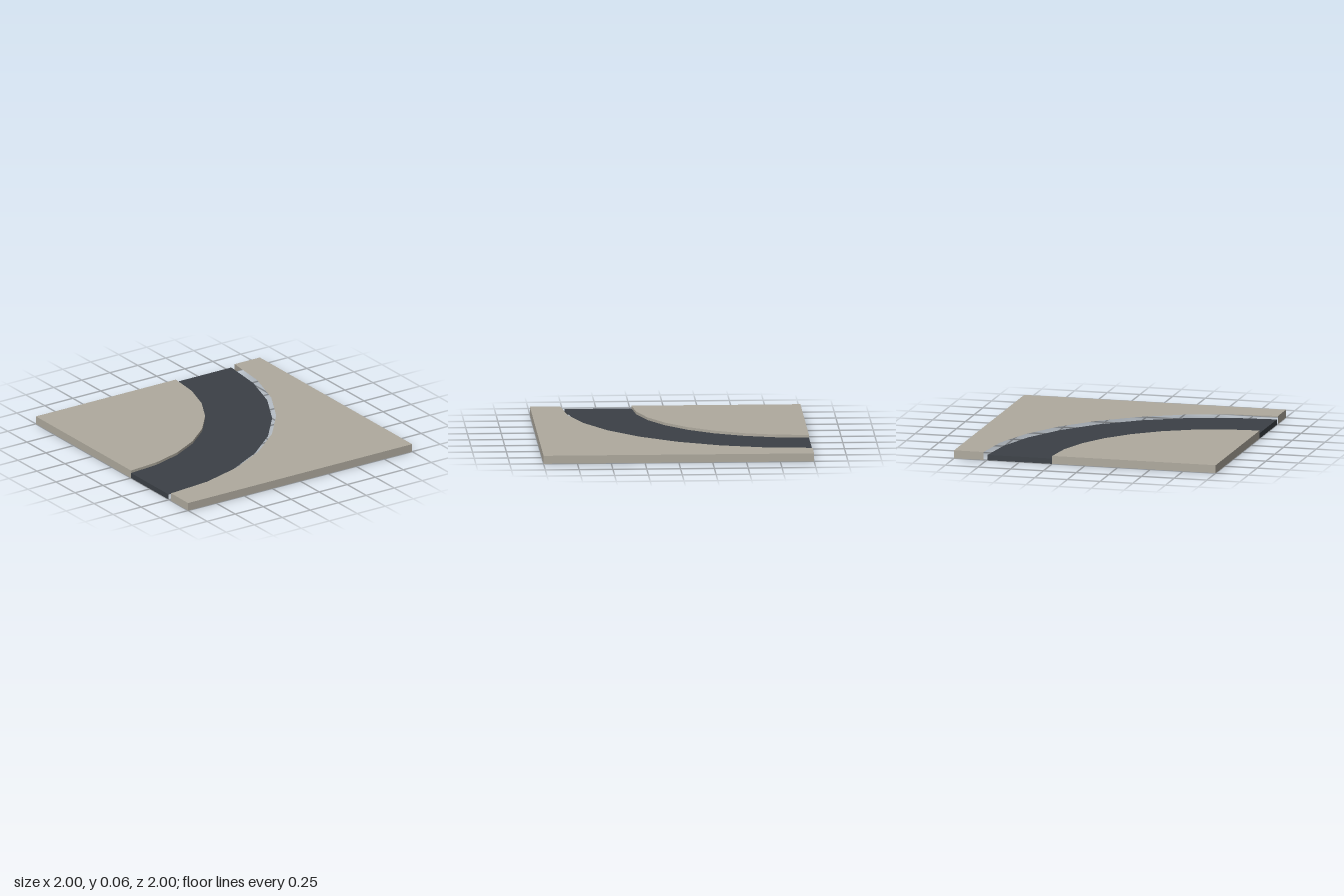
import * as THREE from 'three';

const TOP = 0.06;      // pavement height
const ROAD = 0.04;     // road surface height
const SEGMENTS = 8;    // facets in each quarter curve
const R_INNER = 1.25, R_ROAD = 1.745, R_OUTER = 1.775;

// Points [x, z] on a quarter curve around the back corner (-1, -1)
function arc(radius) {
  const points = [];
  for (let i = 0; i <= SEGMENTS; i++) {
    const a = (i / SEGMENTS) * Math.PI / 2;
    points.push([-1 + radius * Math.cos(a), -1 + radius * Math.sin(a)]);
  }
  return points;
}

// Flat horizontal sheet with the given outline
function sheet(points, y) {
  const shape = new THREE.Shape(points.map(([x, z]) => new THREE.Vector2(x, -z)));
  return new THREE.ShapeGeometry(shape).rotateX(-Math.PI / 2).translate(0, y, 0);
}

// Upright band that follows a path, faceted
function wall(points, y0, y1) {
  const v = [];
  for (let i = 0; i < points.length - 1; i++) {
    const [ax, az] = points[i], [bx, bz] = points[i + 1];
    v.push(ax, y0, az, ax, y1, az, bx, y1, bz, ax, y0, az, bx, y1, bz, bx, y0, bz);
  }
  const geometry = new THREE.BufferGeometry();
  geometry.setAttribute('position', new THREE.Float32BufferAttribute(v, 3));
  geometry.computeVertexNormals();
  return geometry;
}

export function createModel() {
  const model = new THREE.Group();
  model.name = 'curvedRoadTile';
  const paving = new THREE.MeshStandardMaterial({ color: 0xafaa9e, side: THREE.DoubleSide });
  paving.name = 'paving';
  const asphalt = new THREE.MeshStandardMaterial({ color: 0x3b4046, side: THREE.DoubleSide });
  asphalt.name = 'asphalt';

  const add = (name, geometry, material) => {
    const mesh = new THREE.Mesh(geometry, material);
    mesh.name = name;
    model.add(mesh);
  };

  // Inner pavement: quarter disc with its straight sides and kerb
  const inner = arc(R_INNER);
  const innerEdge = inner[0][0];
  add('innerPavement', sheet([[-1, -1], ...inner], TOP), paving);
  add('innerPavementSides', wall([[innerEdge, -1], [-1, -1], [-1, innerEdge]], 0, TOP), paving);
  add('innerKerb', wall(inner, 0, TOP), paving);

  // Outer pavement: the rest of the square beyond a narrow gap
  const outer = arc(R_OUTER);
  const outerEdge = outer[0][0];
  const corners = [[-1, 1], [1, 1], [1, -1]];
  add('outerPavement', sheet([...outer, ...corners], TOP), paving);
  add('outerPavementSides', wall([[-1, outerEdge], ...corners, [outerEdge, -1]], 0, TOP), paving);

  // Shallow curved ribs under both pavements
  add('innerRib', wall(arc(0.98), TOP - 0.02, TOP), paving);
  add('outerRib', wall(arc(2), TOP - 0.02, TOP), paving);

  // Sunken road with closed ends
  const roadEdge = R_ROAD - 1;
  add('road', sheet([...inner, ...arc(R_ROAD).reverse()], ROAD), asphalt);
  add('roadEndBack', wall([[innerEdge, -1], [roadEdge, -1]], 0, ROAD), asphalt);
  add('roadEndSide', wall([[-1, innerEdge], [-1, roadEdge]], 0, ROAD), asphalt);

  return model;
}
